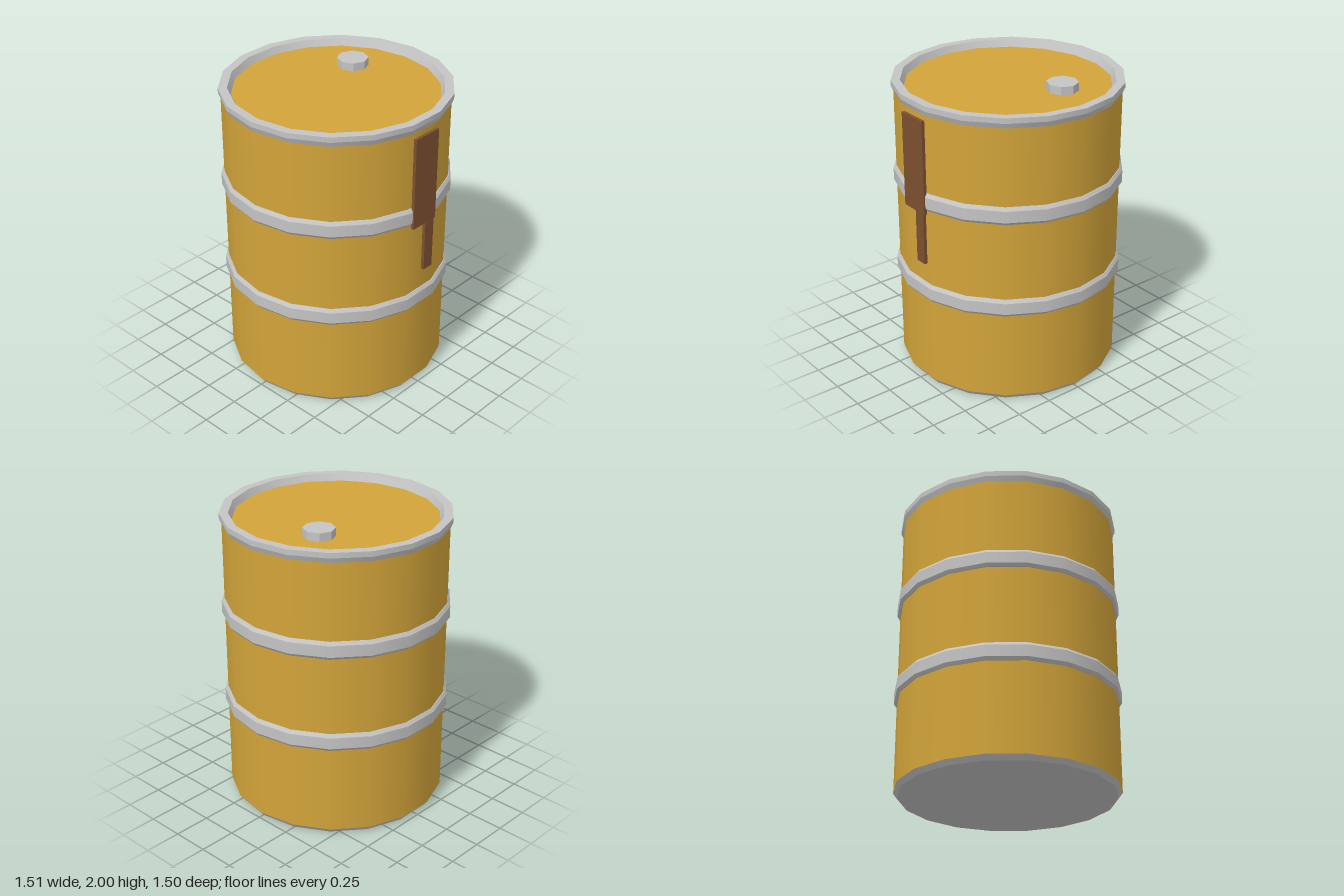
import * as THREE from 'three';
import { mergeGeometries } from 'three/addons/utils/BufferGeometryUtils.js';

const SIDES = 18;

// Revolve each profile step on its own: smooth around, sharp along the profile.
function revolve(points) {
  const rings = [];
  for (let i = 0; i < points.length - 1; i++) {
    const step = [points[i], points[i + 1]].map(([r, y]) => new THREE.Vector2(r, y));
    rings.push(new THREE.LatheGeometry(step, SIDES, Math.PI / 2));
  }
  return mergeGeometries(rings);
}

export function createModel() {
  const paint = new THREE.MeshStandardMaterial({ color: 0xd2a43a });
  paint.name = 'yellowPaint';
  const steel = new THREE.MeshStandardMaterial({ color: 0xc4c4c4 });
  steel.name = 'greySteel';
  const rust = new THREE.MeshStandardMaterial({ color: 0x7d5030 });
  rust.name = 'brownRust';

  const model = new THREE.Group();
  model.name = 'barrel';
  const drum = new THREE.Group();
  drum.name = 'drum';
  drum.position.z = -0.004;
  model.add(drum);

  function add(parent, name, geometry, material) {
    const mesh = new THREE.Mesh(geometry, material);
    mesh.name = name;
    parent.add(mesh);
    return mesh;
  }

  // Drum shell: base, wall, rim and sunken lid
  add(drum, 'base', revolve([[0, 0], [0.71, 0], [0.735, 0.033]]), steel);
  add(drum, 'wall', revolve([[0.735, 0.033], [0.735, 1.92]]), paint);
  add(drum, 'rim', revolve([
    [0.735, 1.92], [0.75, 1.955], [0.75, 1.99], [0.692, 1.99], [0.67, 1.945],
  ]), steel);
  add(drum, 'lid', revolve([[0.67, 1.945], [0, 1.945]]), paint);

  // Two bevelled hoops
  const hoop = revolve([
    [0.732, -0.06], [0.74, -0.06], [0.755, -0.04], [0.755, 0.038], [0.74, 0.06], [0.732, 0.06],
  ]);
  [['lowerHoop', 0.697], ['upperHoop', 1.345]].forEach(([name, y]) => {
    add(drum, name, hoop, steel).position.y = y;
  });

  // Filler cap on the lid
  const cap = new THREE.CylinderGeometry(0.104, 0.104, 0.057, 8).toNonIndexed();
  cap.computeVertexNormals();
  add(model, 'fillerCap', cap, steel).position.set(0.335, 1.9715, -0.172);

  // Rust streak: wide patch with a narrow drip below
  const streak = new THREE.Group();
  streak.name = 'rustStreak';
  model.add(streak);
  add(streak, 'rustPatch', new THREE.BoxGeometry(0.21, 0.63, 0.022), rust)
    .position.set(0, 1.573, 0.738);
  add(streak, 'rustDrip', new THREE.BoxGeometry(0.08, 0.353, 0.022), rust)
    .position.set(0.051, 1.0815, 0.738);

  return model;
}
